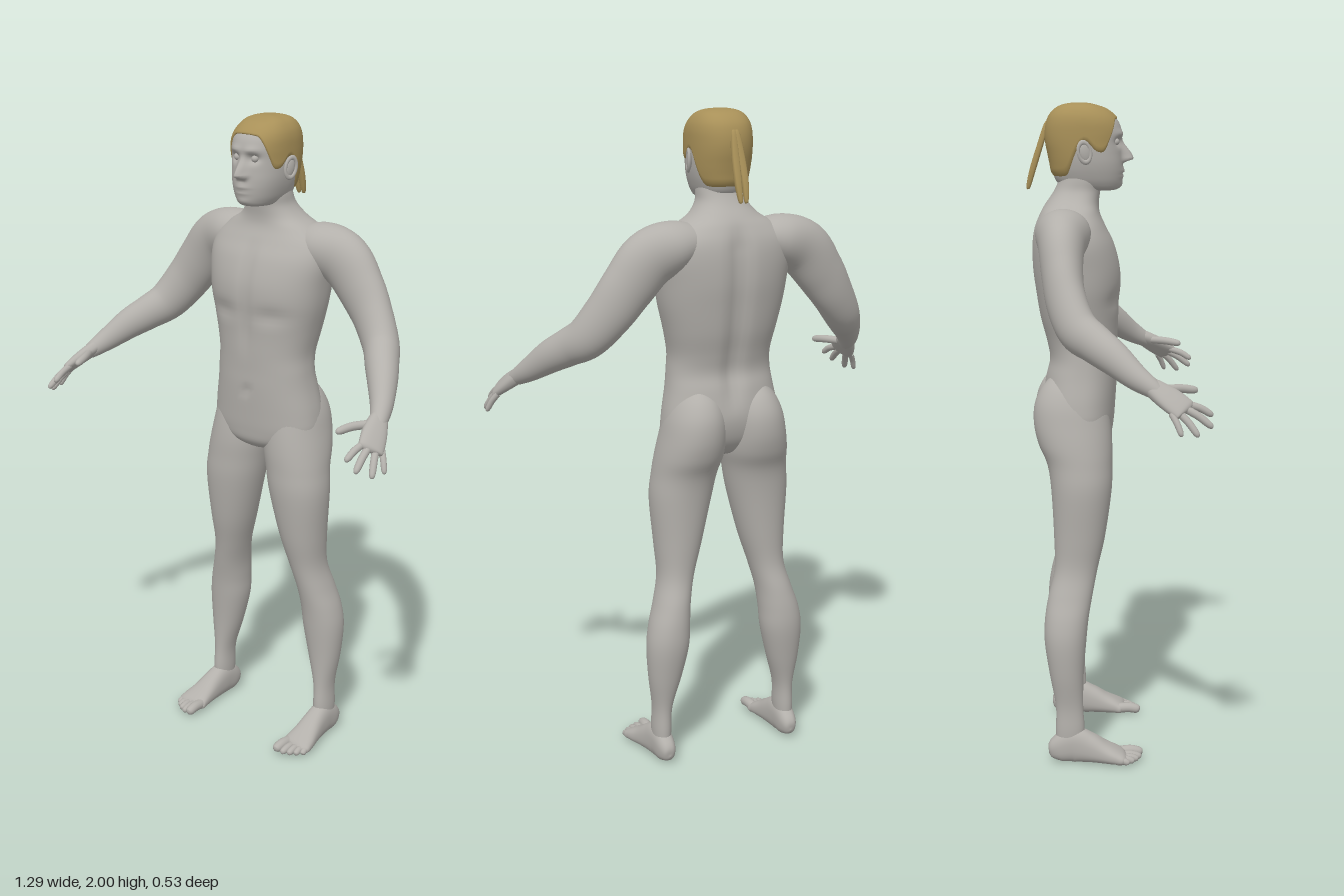
import * as THREE from 'three';

const skin = new THREE.MeshStandardMaterial({ color: 0xb3b0ab });
skin.name = 'grey skin';
const hairColour = new THREE.MeshStandardMaterial({ color: 0xa89058 });
hairColour.name = 'sandy hair';

const { smoothstep, lerp, clamp } = THREE.MathUtils;
const gauss = (d, w) => Math.exp(-((d / w) ** 2));
const power = (s, n) => Math.sign(s) * Math.abs(s) ** (2 / n);

// Smooth interpolation of every column of a table at row position t
function sample(rows, t) {
  t = clamp(t, 0, rows.length - 1);
  const i = Math.min(Math.floor(t), rows.length - 2), f = t - i;
  const row = k => rows[clamp(k, 0, rows.length - 1)];
  return rows[i].map((b, c) => {
    const a = row(i - 1)[c], d = row(i + 1)[c], e = row(i + 2)[c];
    return b + 0.5 * f * (d - a + f * (2 * a - 5 * b + 4 * d - e + f * (3 * (b - d) + e - a)));
  });
}

// Surface closed around the angle u, running along v from 0 to 1
function grid(point, nu, nv) {
  const pos = [], index = [];
  for (let j = 0; j <= nv; j++)
    for (let i = 0; i < nu; i++) pos.push(...point((i / nu) * Math.PI * 2, j / nv));
  for (let j = 0; j < nv; j++)
    for (let i = 0; i < nu; i++) {
      const a = j * nu + i, b = j * nu + (i + 1) % nu;
      index.push(a, b, b + nu, a, b + nu, a + nu);
    }
  const geo = new THREE.BufferGeometry();
  geo.setAttribute('position', new THREE.Float32BufferAttribute(pos, 3));
  geo.setIndex(index);
  geo.computeVertexNormals();
  return geo;
}

// Point on a level section [y, centre x, half width, front z, back z]
function sectionPoint([y, cx, a, zf, zb], th, n, grow = 0) {
  return [cx + (Math.max(a, 0) + grow) * power(Math.sin(th), n), y,
    (zf + zb) / 2 + (Math.max((zf - zb) / 2, 0) + grow) * power(Math.cos(th), n)];
}

function stack(rows, n, deform = p => p, nu = 64) {
  const last = rows.length - 1;
  return grid((th, v) => deform(sectionPoint(sample(rows, v * last), th, n), th), nu, last * 5);
}

// Tube through rows [x, y, z, half size along ref, half size across]
function limb(rows, ref = [0, 1, 0], nu = 28, n = 2) {
  const last = rows.length - 1;
  return grid((th, v) => {
    const t = v * last, [x, y, z, a, b] = sample(rows, t);
    const at = s => new THREE.Vector3(...sample(rows, s).slice(0, 3));
    const dir = at(t + 0.05).sub(at(t - 0.05)).normalize();
    const u = new THREE.Vector3(...ref).addScaledVector(dir, -dir.dot(new THREE.Vector3(...ref))).normalize();
    const w = dir.clone().cross(u);
    return new THREE.Vector3(x, y, z).addScaledVector(u, Math.max(a, 0) * power(Math.cos(th), n))
      .addScaledVector(w, Math.max(b, 0) * power(Math.sin(th), n)).toArray();
  }, nu, last * 5);
}

// Round-ended finger or toe from p to q, bowed at the middle
function digit(p, q, r, bow = [0, 0.006, 0]) {
  return limb([[0, 1], [0.5, 1], [0.85, 0.9], [0.97, 0.55], [1, 0]].map(([t, s]) =>
    [...p.map((c, k) => lerp(c, q[k], t) + bow[k] * 4 * t * (1 - t)), r * s, r * s]), [0, 1, 0.3], 14);
}

function mirrored(geo) {
  const m = geo.clone().scale(-1, 1, 1), ix = m.index.array;
  for (let i = 0; i < ix.length; i += 3) [ix[i], ix[i + 1]] = [ix[i + 1], ix[i]];
  m.computeVertexNormals();
  return m;
}

// Torso and neck: spine, breastbone and chest folds pressed in
const torsoRows = [
  [0.965, 0, 0, -0.1, -0.12], [0.975, 0, 0.05, -0.045, -0.16], [1.0, 0, 0.14, -0.014, -0.19],
  [1.04, 0, 0.185, -0.005, -0.213], [1.1, 0, 0.185, 0, -0.224], [1.18, 0, 0.17, 0.005, -0.215],
  [1.235, 0, 0.163, 0.006, -0.203], [1.29, 0, 0.161, 0.008, -0.212], [1.36, 0, 0.175, 0.01, -0.23],
  [1.44, 0, 0.194, 0.017, -0.243], [1.51, 0, 0.204, 0.015, -0.252], [1.58, 0, 0.212, -0.003, -0.253],
  [1.63, 0, 0.2, -0.028, -0.246], [1.67, 0, 0.155, -0.046, -0.23], [1.7, 0, 0.105, -0.05, -0.212],
  [1.735, 0, 0.076, -0.046, -0.188], [1.77, 0, 0.07, -0.04, -0.172], [1.81, 0, 0.065, -0.04, -0.165]];
function torsoDeform([x, y, z]) {
  if (z < -0.12) z += 0.018 * gauss(x, 0.028) * smoothstep(y, 1.1, 1.22) * (1 - smoothstep(y, 1.6, 1.7));
  if (z > -0.08) {
    z -= 0.008 * gauss(x, 0.018) * smoothstep(y, 1.25, 1.4) * (1 - smoothstep(y, 1.58, 1.65));
    z -= 0.009 * gauss(y - 1.415, 0.025) * gauss(Math.abs(x) - 0.09, 0.06);
    z -= 0.008 * gauss(x, 0.012) * gauss(y - 1.17, 0.014);
  }
  return [x, y, z];
}

// Head with a sculpted face
const headRows = [
  [1.738, 0, 0, -0.05, -0.06], [1.742, 0, 0.045, 0, -0.13], [1.76, 0, 0.064, 0.015, -0.172],
  [1.79, 0, 0.076, 0.021, -0.188], [1.82, 0, 0.083, 0.022, -0.194], [1.85, 0, 0.086, 0.02, -0.2],
  [1.88, 0, 0.087, 0.019, -0.206], [1.91, 0, 0.087, 0.02, -0.208], [1.94, 0, 0.085, 0.012, -0.204],
  [1.965, 0, 0.077, -0.007, -0.193], [1.985, 0, 0.06, -0.036, -0.17], [1.994, 0, 0.034, -0.07, -0.14],
  [1.996, 0, 0, -0.1, -0.105]];
function faceDeform([x, y, z], th) {
  if (Math.cos(th) > 0) {
    const ax = Math.abs(x);
    const nose = smoothstep(y, 1.82, 1.834) * (1 - smoothstep(y, 1.834, 1.9));
    z += 0.034 * nose * gauss(x, lerp(0.011, 0.016, nose));
    z += 0.008 * gauss(ax - 0.014, 0.008) * gauss(y - 1.83, 0.008);
    z -= 0.015 * gauss(ax - 0.034, 0.017) * gauss(y - 1.884, 0.013);
    z += 0.006 * gauss(ax - 0.03, 0.025) * gauss(y - 1.908, 0.01);
    z += 0.008 * gauss(x, 0.024) * gauss(y - 1.792, 0.016);
    z -= 0.007 * gauss(x, 0.024) * gauss(y - 1.79, 0.004);
    z += 0.007 * gauss(x, 0.026) * gauss(y - 1.756, 0.012);
  }
  return [x, y, z];
}

// Hairline as head row numbers, from the forehead (0 degrees) to the nape (180 degrees)
const hairline = [8.4, 8.35, 8.1, 7.0, 5.2, 5.1, 6.1, 4.6, 2.9, 2.6, 2.6, 2.6, 2.6].map(v => [v]);
function hairPoint(th, v) {
  const away = Math.min(th, Math.PI * 2 - th) / Math.PI;
  const start = sample(hairline, away * 12)[0];
  const grow = v === 0 ? -0.004 : 0.005 * Math.min(1, v * 14) * (1 - smoothstep(v, 0.9, 1));
  const p = sectionPoint(sample(headRows, lerp(start, 12, v)), th, 2.3, grow);
  p[1] += 0.004 * smoothstep(v, 0.5, 1);
  return p;
}

// Leg sections: y, inner x, outer x, front z, back z
const legRows = [
  [0.03, 0.192, 0.238, -0.105, -0.18], [0.1, 0.186, 0.243, -0.096, -0.184], [0.18, 0.182, 0.242, -0.1, -0.184],
  [0.28, 0.154, 0.256, -0.098, -0.202], [0.38, 0.131, 0.262, -0.09, -0.217], [0.45, 0.126, 0.252, -0.083, -0.216],
  [0.52, 0.119, 0.23, -0.071, -0.205], [0.6, 0.1, 0.211, -0.055, -0.187], [0.7, 0.07, 0.215, -0.032, -0.188],
  [0.84, 0.035, 0.225, -0.012, -0.196], [0.92, 0.019, 0.218, -0.01, -0.208], [0.98, 0.006, 0.21, -0.01, -0.234],
  [1.04, 0.004, 0.198, -0.015, -0.248], [1.1, 0.008, 0.184, -0.025, -0.246], [1.15, 0.024, 0.162, -0.04, -0.225],
  [1.19, 0.06, 0.13, -0.07, -0.19]].map(([y, i, o, f, b]) => [y, (i + o) / 2, (o - i) / 2, f, b]);

const armRows = [
  [0.09, 1.63, -0.15, 0.045, 0.06], [0.17, 1.618, -0.154, 0.075, 0.082], [0.25, 1.585, -0.157, 0.085, 0.068],
  [0.31, 1.515, -0.154, 0.08, 0.06], [0.365, 1.44, -0.142, 0.072, 0.056], [0.42, 1.367, -0.11, 0.064, 0.054],
  [0.46, 1.33, -0.06, 0.056, 0.05], [0.5, 1.295, -0.008, 0.049, 0.044], [0.54, 1.25, 0.05, 0.037, 0.034],
  [0.562, 1.223, 0.092, 0.028, 0.027], [0.572, 1.21, 0.112, 0.022, 0.022]];

const acrossHand = [0.55, -0.36, -0.75];
const palmRows = [
  [0.555, 1.235, 0.078, 0.02, 0.018], [0.566, 1.218, 0.105, 0.03, 0.021], [0.582, 1.195, 0.142, 0.038, 0.019],
  [0.597, 1.172, 0.176, 0.039, 0.015], [0.602, 1.164, 0.188, 0.034, 0.01], [0.604, 1.161, 0.192, 0, 0]];
const fingers = {
  thumb: [[0.56, 1.215, 0.12], [0.512, 1.206, 0.226], 0.0125, [-0.007, 0.004, 0]],
  indexFinger: [[0.58, 1.18, 0.19], [0.573, 1.145, 0.264], 0.0105],
  middleFinger: [[0.592, 1.173, 0.178], [0.605, 1.117, 0.262], 0.011],
  ringFinger: [[0.604, 1.165, 0.164], [0.633, 1.097, 0.222], 0.0105],
  littleFinger: [[0.614, 1.158, 0.149], [0.643, 1.1, 0.176], 0.009] };

// Foot rows run from heel to ball
const footRows = [
  [0.213, 0.03, -0.207, 0, 0], [0.213, 0.032, -0.2, 0.022, 0.018], [0.214, 0.042, -0.175, 0.042, 0.029],
  [0.215, 0.055, -0.13, 0.055, 0.033], [0.217, 0.047, -0.085, 0.047, 0.037], [0.22, 0.034, -0.04, 0.034, 0.043],
  [0.223, 0.024, 0, 0.024, 0.05], [0.223, 0.017, 0.025, 0.016, 0.048], [0.221, 0.015, 0.042, 0, 0]];
const toes = [[0.187, 0.083, 0.0165], [0.211, 0.079, 0.012], [0.231, 0.07, 0.0115], [0.249, 0.057, 0.011], [0.265, 0.041, 0.0105]];

export function createModel() {
  const model = new THREE.Group();
  model.name = 'standingFigure';
  const add = (name, geo, mat = skin) => {
    const mesh = new THREE.Mesh(geo, mat);
    mesh.name = name;
    model.add(mesh);
  };
  const pair = (name, geo, mat) => {
    add(name + 'Left', geo, mat);
    add(name + 'Right', mirrored(geo), mat);
  };

  add('torso', stack(torsoRows, 2.3, torsoDeform, 72));
  add('head', stack(headRows, 2.3, faceDeform, 112));
  add('hairCap', grid(hairPoint, 96, 40), hairColour);

  // Eyes and ears
  pair('eye', new THREE.SphereGeometry(0.011, 16, 12).translate(0.033, 1.884, 0.001));
  pair('ear', new THREE.SphereGeometry(1, 16, 12).scale(0.008, 0.03, 0.018)
    .rotateX(-0.2).rotateY(-0.3).translate(0.089, 1.853, -0.09));
  pair('earRim', new THREE.TorusGeometry(0.019, 0.005, 8, 24).scale(1, 1.55, 1)
    .rotateY(Math.PI / 2).rotateX(-0.2).rotateY(-0.3).translate(0.093, 1.853, -0.092));

  // Ponytail of two flat strands
  pair('ponytailStrand', limb([
    [0.004, 1.945, -0.196, 0, 0], [0.005, 1.936, -0.206, 0.008, 0.008], [0.009, 1.87, -0.228, 0.009, 0.011],
    [0.011, 1.8, -0.25, 0.009, 0.01], [0.009, 1.75, -0.263, 0.006, 0.006], [0.009, 1.744, -0.265, 0, 0]],
  [0, 0, 1], 16, 3), hairColour);

  // Limbs
  pair('leg', stack(legRows, 2.1, undefined, 48));
  pair('foot', limb(footRows, [0, 1, 0], 36, 2.4));
  toes.forEach(([x, z, r], k) =>
    pair('toe' + (k + 1), digit([lerp(0.222, x, 0.9), r + 0.004, 0.005], [x, r, z], r)));
  pair('arm', limb(armRows, [0, 1, 0], 40));
  pair('palm', limb(palmRows, acrossHand, 32, 2.4));
  for (const [name, args] of Object.entries(fingers)) pair(name, digit(...args));

  return model;
}
